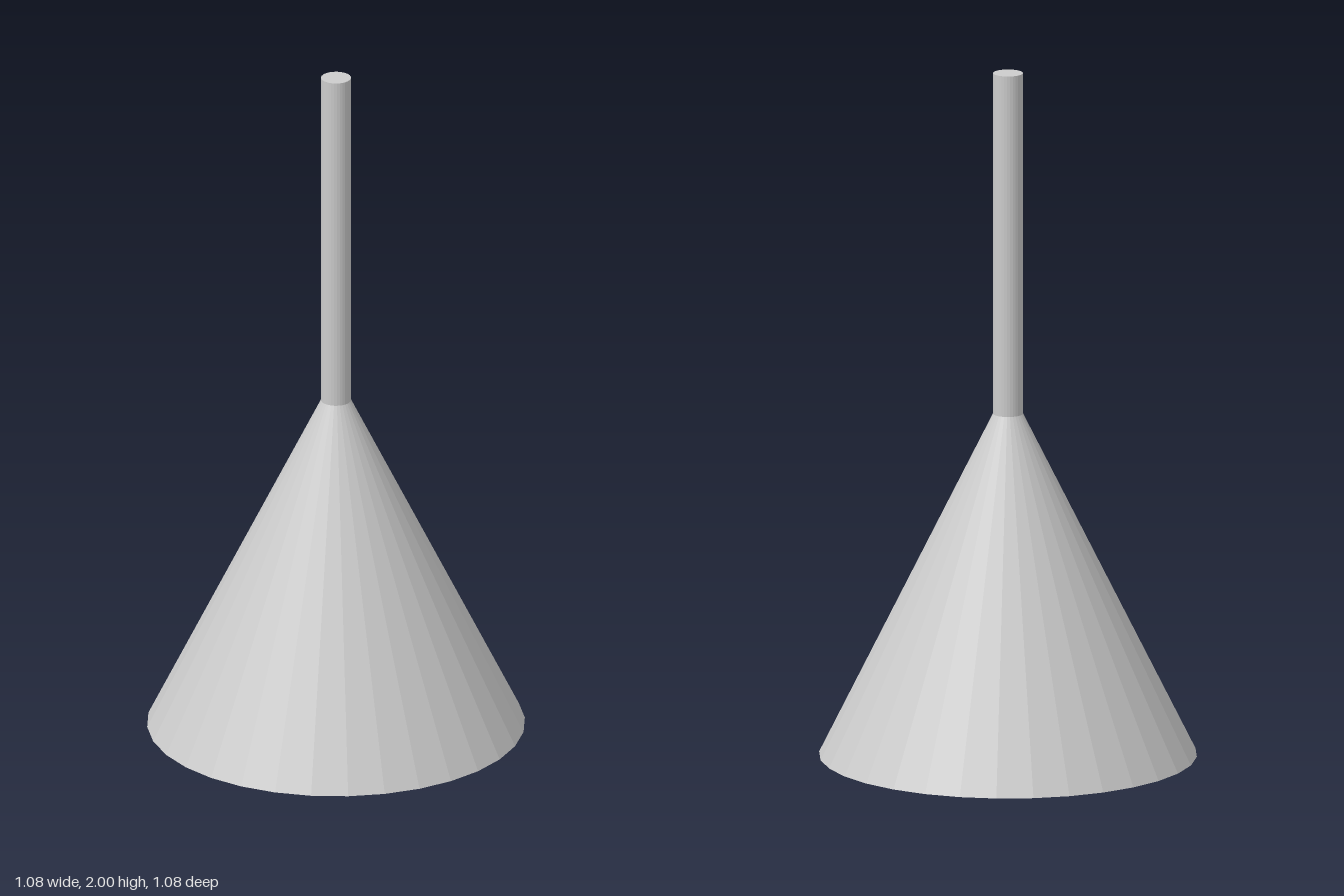
import * as THREE from 'three';

const SIDES = 32;
const STEM_RADIUS = 0.043;
const RIM_RADIUS = 0.54;

export function createModel() {
  const group = new THREE.Group();
  group.name = 'funnel';
  const material = new THREE.MeshStandardMaterial({
    color: 0xcccccc, flatShading: true, side: THREE.DoubleSide,
  });

  function add(name, geometry, y) {
    const mesh = new THREE.Mesh(geometry, material);
    mesh.name = name;
    mesh.position.y = y;
    group.add(mesh);
    return mesh;
  }

  // Thin hollow cone, open at the bottom
  add('cone', new THREE.CylinderGeometry(STEM_RADIUS, RIM_RADIUS, 1, SIDES, 1, true), 0.5);

  // Straight stem, open into the cone
  add('stem', new THREE.CylinderGeometry(STEM_RADIUS, STEM_RADIUS, 1, SIDES, 1, true), 1.5);

  // Flat disc closing the top of the stem
  add('stemCap', new THREE.CircleGeometry(STEM_RADIUS, SIDES).rotateX(-Math.PI / 2), 2);

  return group;
}
